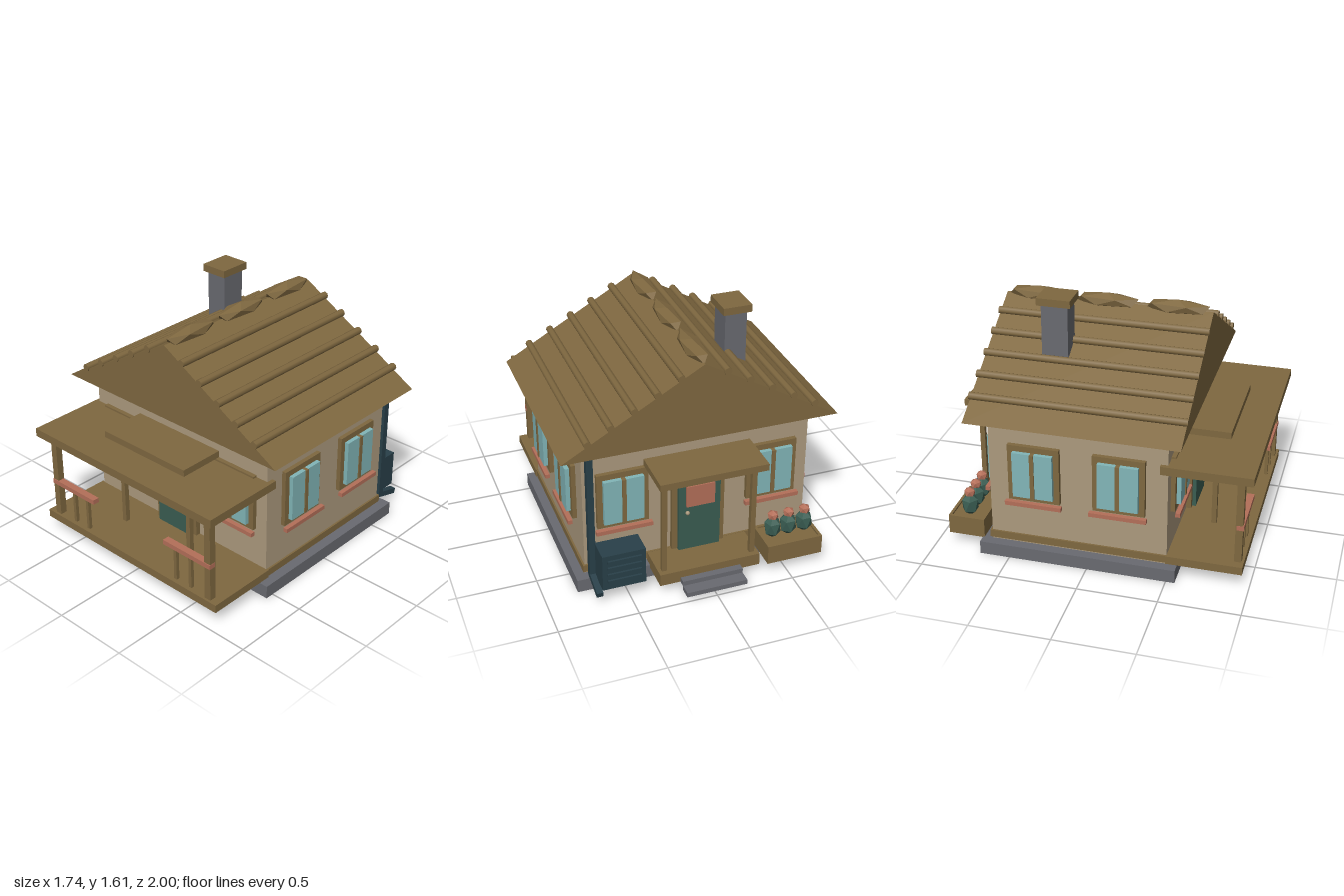
import * as THREE from 'three';

const mat = (name, color) => {
  const m = new THREE.MeshStandardMaterial({ color });
  m.name = name;
  return m;
};

export function createModel() {
  const wood = mat('wood', 0x7f6840);
  const plaster = mat('plaster', 0xac9a7e);
  const stone = mat('stone', 0x696a70);
  const green = mat('green', 0x3a5d52);
  const red = mat('red', 0xb46f59);
  const glass = mat('glass', 0x82b6b8);
  const slate = mat('slate', 0x294049);

  const house = new THREE.Group();
  house.name = 'house';

  const add = (parent, name, geo, material) => {
    const m = new THREE.Mesh(geo, material);
    m.name = name;
    parent.add(m);
    return m;
  };
  // box given by its limits on each axis
  const box = (parent, name, material, x0, x1, y0, y1, z0, z1) => {
    const m = add(parent, name, new THREE.BoxGeometry(Math.abs(x1 - x0), y1 - y0, Math.abs(z1 - z0)), material);
    m.position.set((x0 + x1) / 2, (y0 + y1) / 2, (z0 + z1) / 2);
    return m;
  };
  // faceted lump with one corner pointing straight up
  const lump = (parent, name, material, x, y, z, sx, sy, sz) => {
    const g = new THREE.IcosahedronGeometry(1, 0);
    g.rotateX(-Math.atan((1 + Math.sqrt(5)) / 2));
    g.scale(sx, sy, sz);
    g.computeVertexNormals();
    const m = add(parent, name, g, material);
    m.position.set(x, y, z);
  };

  // body
  box(house, 'foundation', stone, -0.79, 0.79, 0, 0.086, -0.69, 0.555);
  box(house, 'walls', plaster, -0.725, 0.725, 0.08, 0.965, -0.625, 0.49);
  box(house, 'skirting', wood, -0.737, 0.737, 0.1, 0.148, -0.638, 0.5);

  // roof prism
  const gable = new THREE.Shape();
  gable.moveTo(-0.87, 0.958);
  gable.lineTo(0.87, 0.958);
  gable.lineTo(0, 1.455);
  const roofGeo = new THREE.ExtrudeGeometry(gable, { depth: 1.32, bevelEnabled: false });
  roofGeo.translate(0, 0, -0.728);
  add(house, 'roof', roofGeo, wood);

  // round battens along the roof slopes
  for (const s of [-1, 1]) {
    for (let i = 0; i < 5; i++) {
      const g = new THREE.CylinderGeometry(0.024, 0.024, 1.334, 8);
      g.rotateX(Math.PI / 2);
      const b = add(house, 'roofBatten', g, wood);
      b.position.set(s * (0.142 + i * 0.142), 1.385 - i * 0.0805, -0.068);
    }
  }
  for (const z of [0.37, -0.075, -0.515]) lump(house, 'ridgeCap', wood, 0, 1.466, z, 0.066, 0.047, 0.222);

  // chimney
  box(house, 'chimney', stone, -0.402, -0.263, 1.1, 1.565, -0.375, -0.21);
  box(house, 'chimneyCap', wood, -0.425, -0.243, 1.563, 1.61, -0.397, -0.187);

  // windows, built facing +z with the wall at z = 0
  const addWindow = (x, z, turn) => {
    const w = new THREE.Group();
    w.name = 'window';
    box(w, 'windowFrame', wood, -0.162, 0.162, 0.41, 0.786, -0.01, 0.028);
    for (const s of [-1, 1]) box(w, 'windowPane', glass, s * 0.012, s * 0.126, 0.446, 0.748, 0.01, 0.055);
    box(w, 'mullion', wood, -0.013, 0.013, 0.446, 0.748, 0.01, 0.062);
    box(w, 'windowSill', red, -0.178, 0.178, 0.383, 0.41, 0.033, 0.062);
    w.position.set(x, 0, z);
    w.rotation.y = turn;
    house.add(w);
  };
  for (const s of [-1, 1]) {
    addWindow(s * 0.48, 0.49, 0);
    addWindow(s * 0.48, -0.625, Math.PI);
    for (const z of [0.195, -0.335]) addWindow(s * 0.725, z, s * Math.PI / 2);
  }

  // entrances: door, canopy, landing and steps on both ends
  const addEntrance = (wall, dir) => {
    const e = new THREE.Group();
    e.name = 'entrance';
    const part = (name, material, x0, x1, y0, y1, a, b) =>
      box(e, name, material, x0, x1, y0, y1, dir * a, dir * b);
    part('doorFrame', wood, -0.17, 0.17, 0.14, 0.755, -0.01, 0.032);
    part('door', green, -0.135, 0.135, 0.145, 0.72, 0.01, 0.056);
    part('doorPanel', red, -0.093, 0.09, 0.468, 0.614, 0.04, 0.074);
    const knob = add(e, 'doorKnob', new THREE.SphereGeometry(0.014, 8, 6), plaster);
    knob.position.set(0.086, 0.43, dir * 0.078);
    part('canopy', wood, -0.34, 0.34, 0.785, 0.829, -0.005, 0.3);
    part('landing', wood, -0.325, 0.325, 0.066, 0.146, 0.005, 0.255);
    for (const s of [-1, 1]) part('canopyPost', wood, s * 0.27, s * 0.302, 0.14, 0.79, 0.19, 0.222);
    part('upperStep', stone, -0.195, 0.195, 0.064, 0.097, 0.22, 0.3);
    part('lowerStep', stone, -0.195, 0.195, 0.035, 0.066, 0.295, 0.375);
    e.position.z = wall;
    house.add(e);
  };
  addEntrance(0.49, 1);
  addEntrance(-0.625, -1);

  // front porch
  box(house, 'porchFloor', wood, -0.743, 0.743, 0.097, 0.15, 0.485, 0.955);
  box(house, 'porchRoof', wood, -0.752, 0.752, 0.72, 0.774, 0.445, 1);
  for (const s of [-1, 1]) {
    box(house, 'porchPost', wood, s * 0.642, s * 0.688, 0.145, 0.722, 0.895, 0.94);
    box(house, 'porchRail', red, s * 0.308, s * 0.69, 0.374, 0.405, 0.9, 0.945);
    for (const x of [0.39, 0.512]) box(house, 'baluster', wood, s * (x - 0.011), s * (x + 0.011), 0.145, 0.38, 0.907, 0.929);
  }

  // planter with three shrubs behind the house
  box(house, 'planter', wood, -0.73, -0.366, 0.08, 0.195, -0.915, -0.68);
  box(house, 'planterRimBack', wood, -0.73, -0.366, 0.19, 0.207, -0.915, -0.897);
  box(house, 'planterRimFront', wood, -0.73, -0.366, 0.19, 0.207, -0.698, -0.68);
  for (const x of [-0.73, -0.384]) box(house, 'planterRimSide', wood, x, x + 0.018, 0.19, 0.207, -0.915, -0.68);
  for (const x of [-0.655, -0.548, -0.442]) {
    lump(house, 'shrub', green, x, 0.265, -0.795, 0.058, 0.08, 0.058);
    lump(house, 'blossom', red, x, 0.35, -0.795, 0.038, 0.035, 0.038);
  }

  // outdoor unit with slats
  box(house, 'outdoorUnit', slate, 0.408, 0.68, 0.112, 0.356, -0.86, -0.705);
  for (let i = 0; i < 4; i++) {
    const y = 0.165 + i * 0.047;
    box(house, 'unitSlat', slate, 0.437, 0.65, y, y + 0.016, -0.873, -0.855);
  }

  // rain pipe with its slanted spout
  box(house, 'rainPipe', slate, 0.676, 0.716, 0.11, 0.965, -0.71, -0.668);
  const spout = add(house, 'rainSpout', new THREE.BoxGeometry(0.04, 0.036, 0.18), slate);
  spout.position.set(0.696, 0.097, -0.762);
  spout.rotation.x = -0.27;

  return house;
}
